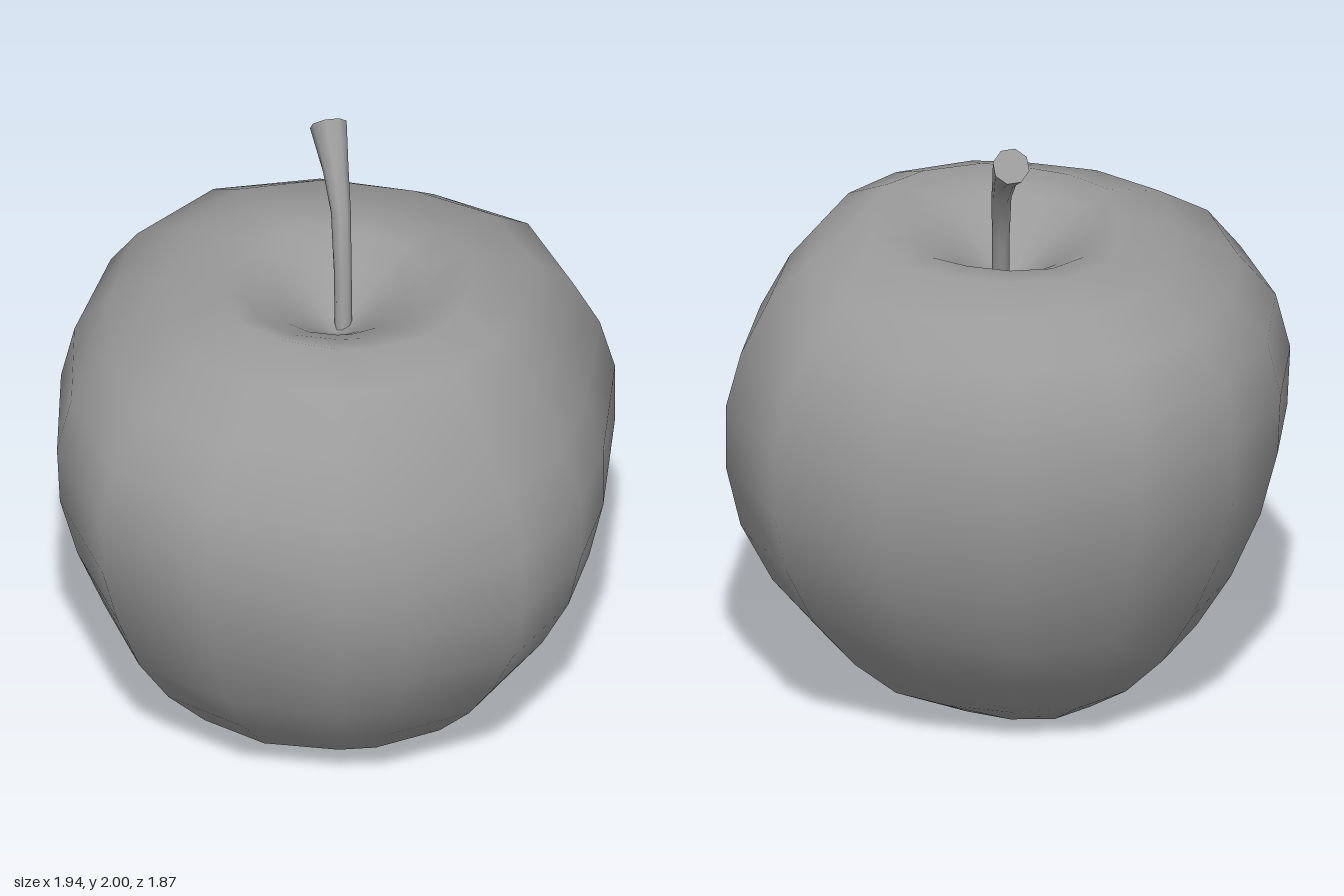
import * as THREE from 'three';
import { mergeVertices, toCreasedNormals } from 'three/addons/utils/BufferGeometryUtils.js';

const material = new THREE.MeshStandardMaterial({ color: 0x9a9a9a });

// Ribs of the fruit at its widest, as [x, z], from the front round to the left
const outline = [
  [0.01, 0.93], [0.34, 0.82], [0.56, 0.66], [0.86, 0.35], [0.97, -0.06],
  [0.81, -0.42], [0.53, -0.75], [0.17, -0.94], [-0.23, -0.91], [-0.57, -0.69],
  [-0.83, -0.39], [-0.97, 0], [-0.85, 0.39], [-0.56, 0.71], [-0.38, 0.83],
];

// Slightly different side profiles, bottom rim to top rim, as [radius, y]
const profiles = {
  left: [[0.30, 0.01], [0.46, 0.09], [0.63, 0.24], [0.80, 0.44], [0.91, 0.65], [0.96, 0.86],
    [0.96, 1.07], [0.91, 1.25], [0.82, 1.41], [0.67, 1.52], [0.43, 1.58]],
  right: [[0.40, 0.025], [0.54, 0.11], [0.69, 0.27], [0.81, 0.45], [0.90, 0.67], [0.96, 0.88],
    [0.97, 1.08], [0.92, 1.27], [0.79, 1.43], [0.60, 1.55], [0.40, 1.61]],
  front: [[0.37, 0.03], [0.52, 0.11], [0.67, 0.26], [0.79, 0.42], [0.89, 0.60], [0.94, 0.80],
    [0.94, 1.01], [0.87, 1.21], [0.74, 1.41], [0.60, 1.56], [0.45, 1.62]],
  back: [[0.33, 0.00], [0.48, 0.10], [0.63, 0.25], [0.75, 0.44], [0.86, 0.67], [0.92, 0.90],
    [0.93, 1.10], [0.89, 1.29], [0.79, 1.44], [0.62, 1.55], [0.43, 1.59]],
};

// Shallow dimples shared by all sides
const bottomDimple = [[0, 0.085], [0.1, 0.075], [0.22, 0.04]];
const topDimple = [[0.31, 1.572], [0.2, 1.515], [0.12, 1.46], [0.05, 1.41], [0, 1.39]];

// Full profile in the direction (s, c), blended from the two nearest sides
function profileAt(s, c) {
  const a = s > 0 ? profiles.left : profiles.right;
  const b = c > 0 ? profiles.front : profiles.back;
  // The rim swells towards the front left and sinks towards the back right
  const swell = 2 * Math.max(0, s * c) * Math.sign(c);
  const side = a.map((p, i) => {
    const [r, y] = [0, 1].map(k => p[k] * s * s + b[i][k] * c * c);
    const lift = swell * Math.max(0, (y - 1) / 0.6) ** 4;
    return [r + 0.04 * lift, y + 0.02 * lift];
  });
  return [...bottomDimple, ...side, ...topDimple];
}

function createFruit() {
  const points = profileAt(0, 1).map(([r, y]) => new THREE.Vector2(r, y));
  let geometry = new THREE.LatheGeometry(points, outline.length);
  const position = geometry.attributes.position;
  for (let i = 0; i <= outline.length; i++) {
    const [x, z] = outline[i % outline.length];
    const reach = Math.hypot(x, z);
    const s = x / reach, c = z / reach;
    const profile = profileAt(s, c);
    const scale = reach / Math.max(...profile.map(p => p[0]));
    profile.forEach(([r, y], j) => {
      position.setXYZ(i * points.length + j, r * scale * s, y, r * scale * c);
    });
  }
  // Weld the seam for smooth shading all round
  geometry.deleteAttribute('uv');
  geometry.deleteAttribute('normal');
  geometry = mergeVertices(geometry);
  geometry.computeVertexNormals();
  const fruit = new THREE.Mesh(geometry, material);
  fruit.name = 'fruit';
  return fruit;
}

function createStem() {
  const path = new THREE.CatmullRomCurve3([
    new THREE.Vector3(0.03, 1.36, 0),
    new THREE.Vector3(0.055, 1.58, -0.035),
    new THREE.Vector3(0.1, 1.76, -0.1),
    new THREE.Vector3(0.14, 1.865, -0.175),
    new THREE.Vector3(0.197, 1.957, -0.283),
  ]);
  // Bend a cylinder along the path, flaring towards the tip
  const geometry = new THREE.CylinderGeometry(1, 1, 1, 8, 4);
  const position = geometry.attributes.position;
  const v = new THREE.Vector3();
  const up = new THREE.Vector3(0, 1, 0);
  const turn = new THREE.Quaternion();
  for (let i = 0; i < position.count; i++) {
    v.fromBufferAttribute(position, i);
    const t = v.y + 0.5;
    const radius = 0.028 + 0.032 * t ** 3;
    turn.setFromUnitVectors(up, path.getTangent(t));
    v.set(v.x * radius, 0, v.z * radius).applyQuaternion(turn).add(path.getPoint(t));
    position.setXYZ(i, v.x, v.y, v.z);
  }
  const stem = new THREE.Mesh(toCreasedNormals(geometry, Math.PI / 3), material);
  stem.name = 'stem';
  return stem;
}

export function createModel() {
  const model = new THREE.Group();
  model.name = 'apple';
  model.add(createFruit(), createStem());
  return model;
}
